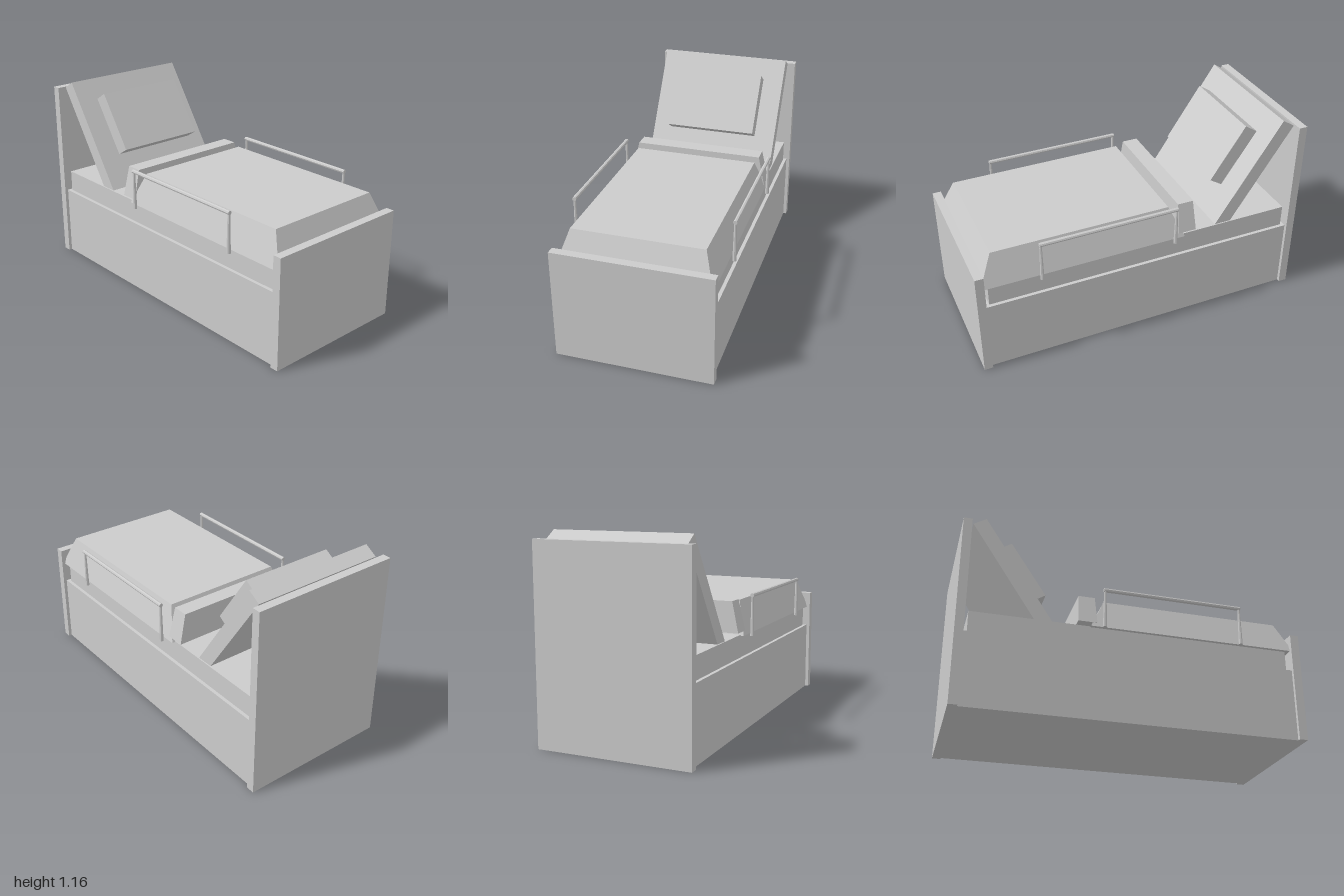
import * as THREE from 'three';

export function createModel() {
  const bed = new THREE.Group();
  bed.name = 'bed';
  const grey = new THREE.MeshStandardMaterial({ color: 0xcccccc, flatShading: true });
  grey.name = 'plain grey';

  const add = (name, geometry) => {
    const mesh = new THREE.Mesh(geometry, grey);
    mesh.name = name;
    bed.add(mesh);
    return mesh;
  };

  // Box given by its x and y ranges and half depth
  const box = (name, x0, x1, y0, y1, halfZ) =>
    add(name, new THREE.BoxGeometry(x1 - x0, y1 - y0, 2 * halfZ))
      .position.set((x0 + x1) / 2, (y0 + y1) / 2, 0);

  // Box whose top rectangle differs from its bottom one: [x0, x1, y, halfZ]
  const taperedBox = (name, bottom, top) => {
    const g = new THREE.BoxGeometry(1, 1, 1);
    const p = g.attributes.position;
    for (let i = 0; i < p.count; i++) {
      const [x0, x1, y, halfZ] = p.getY(i) > 0 ? top : bottom;
      p.setXYZ(i, p.getX(i) > 0 ? x1 : x0, y, p.getZ(i) > 0 ? halfZ : -halfZ);
    }
    g.computeVertexNormals();
    add(name, g);
  };

  // Leaning slab: side outline extruded across the bed
  const slab = (name, points, halfZ) => {
    const shape = new THREE.Shape(points.map(([x, y]) => new THREE.Vector2(x, y)));
    const g = new THREE.ExtrudeGeometry(shape, { depth: 2 * halfZ, bevelEnabled: false });
    add(name, g.translate(0, 0, -halfZ));
  };

  // Frame and mattress
  box('headboard', -1, -0.95, 0, 1.12, 0.45);
  box('footboard', 0.95, 1, 0, 0.65, 0.45);
  box('base', -0.95, 0.95, 0, 0.43, 0.43);
  box('mattress', -0.93, 0.925, 0.43, 0.56, 0.41);

  // Raised backrest and pillow
  slab('backrest', [[-0.94, 1.118], [-0.533, 0.505], [-0.46, 0.548], [-0.868, 1.163]], 0.403);
  slab('pillow', [[-0.775, 1.055], [-0.565, 0.743], [-0.49, 0.79], [-0.7, 1.103]], 0.28);

  // Blanket with its folded edge
  taperedBox('blanket', [-0.255, 0.97, 0.555, 0.43], [-0.17, 0.885, 0.745, 0.37]);
  taperedBox('blanketFold', [-0.328, -0.218, 0.58, 0.425], [-0.32, -0.225, 0.757, 0.385]);

  // Side rails: a bar on two tapered posts
  for (const side of [1, -1]) {
    const z = side * 0.453;
    const bar = add('railBar', new THREE.CylinderGeometry(0.012, 0.012, 0.825, 8));
    bar.rotation.z = Math.PI / 2;
    bar.position.set(0.223, 0.777, z);
    for (const x of [-0.182, 0.628]) {
      add('railPost', new THREE.CylinderGeometry(0.007, 0.012, 0.235, 8)).position.set(x, 0.6625, z);
    }
  }
  return bed;
}
